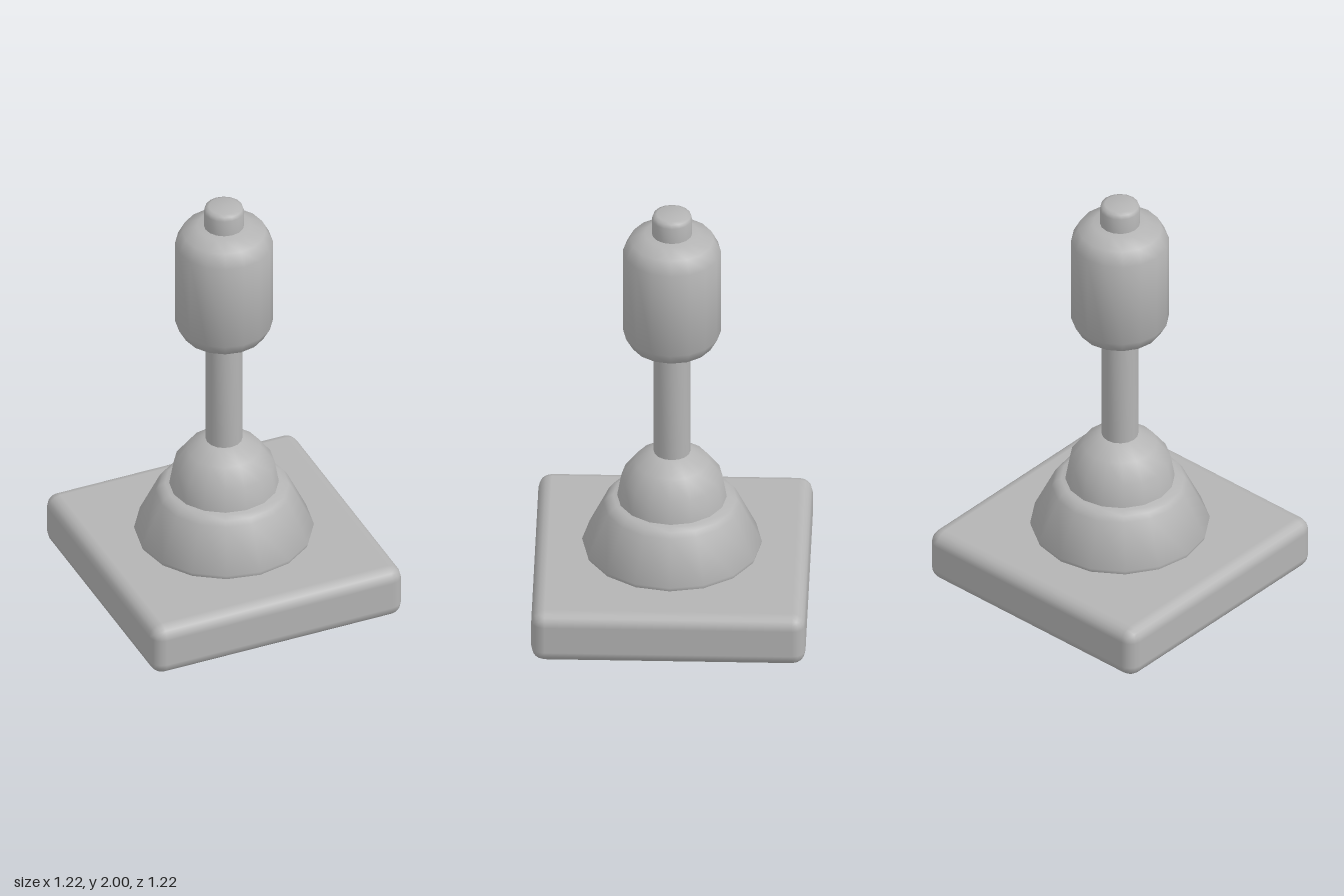
import * as THREE from 'three';
import { RoundedBoxGeometry } from 'three/addons/geometries/RoundedBoxGeometry.js';
import { toCreasedNormals } from 'three/addons/utils/BufferGeometryUtils.js';

const grey = new THREE.MeshStandardMaterial({ color: 0xb4b4b4 });
grey.name = 'grey';

// Turned part from [radius, height] points listed bottom to top
function turned(name, points, crease = 0.9, sides = 16) {
  const profile = points.map(([r, y]) => new THREE.Vector2(r, y));
  const geometry = toCreasedNormals(new THREE.LatheGeometry(profile, sides), crease);
  const mesh = new THREE.Mesh(geometry, grey);
  mesh.name = name;
  return mesh;
}

export function createModel() {
  const model = new THREE.Group();
  model.name = 'joystick';

  // Square base plate with rounded edges
  const base = new THREE.Mesh(new RoundedBoxGeometry(1.22, 0.25, 1.22, 2, 0.06), grey);
  base.name = 'base';
  base.position.y = 0.125;
  model.add(base);

  // Flared skirt and the ball joint on top of it
  model.add(turned('collar', [
    [0, 0.25], [0.365, 0.25], [0.395, 0.258], [0.4, 0.277],
    [0.305, 0.475], [0.288, 0.498], [0.262, 0.512], [0, 0.512],
  ]));
  model.add(turned('ballJoint', [
    [0, 0.5], [0.245, 0.505], [0.225, 0.62], [0.165, 0.7], [0.09, 0.75], [0, 0.755],
  ]));

  // Shaft
  model.add(turned('shaft', [[0.082, 0.72], [0.082, 1.32]]));

  // Grip with rounded ends
  model.add(turned('grip', [
    [0, 1.29], [0.106, 1.29], [0.186, 1.327], [0.218, 1.385],
    [0.218, 1.805], [0.186, 1.867], [0.12, 1.897], [0, 1.9],
  ]));

  // Thumb button
  model.add(turned('button', [
    [0.09, 1.88], [0.09, 1.975], [0.084, 1.993], [0.068, 2], [0, 2],
  ]));

  return model;
}
